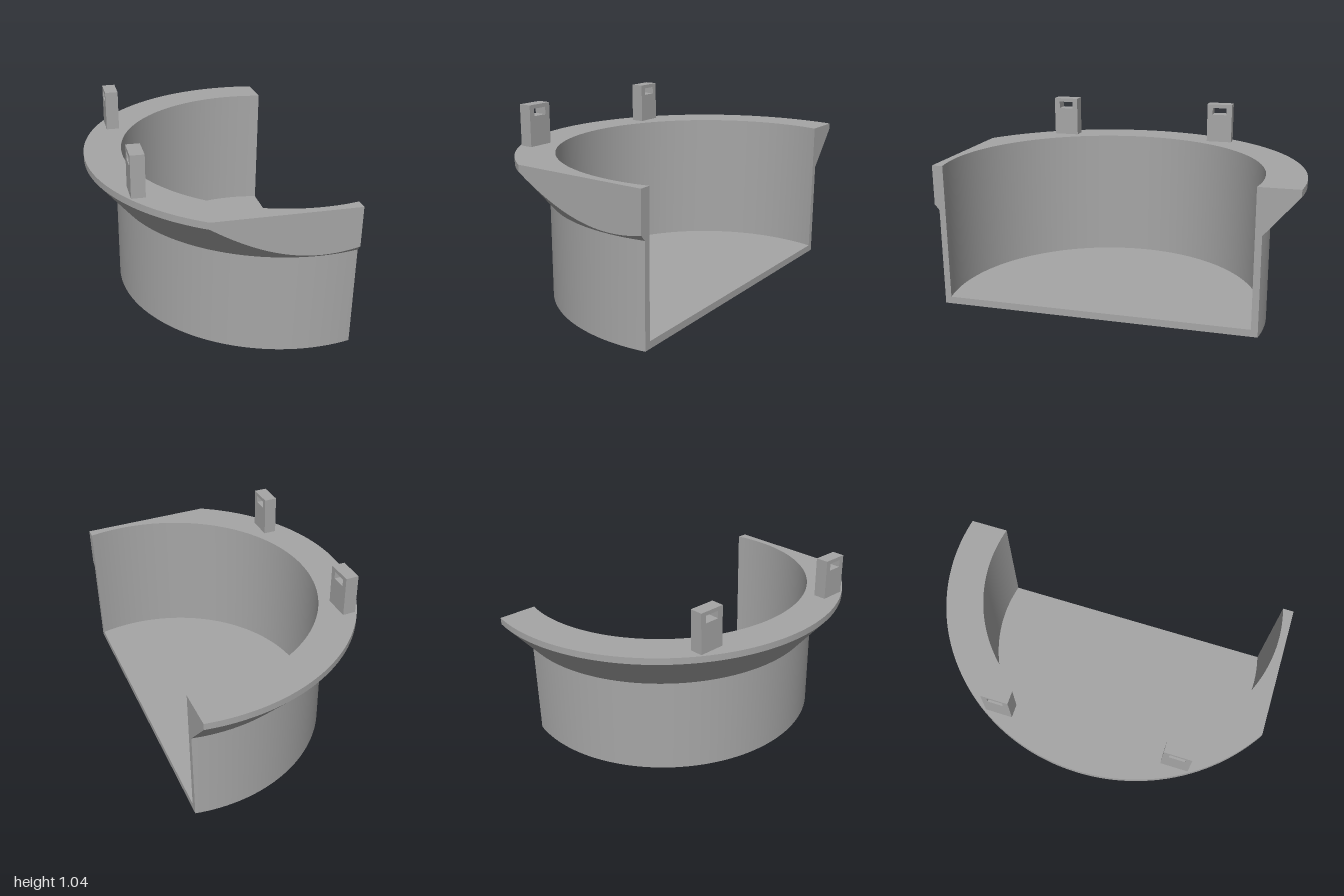
import * as THREE from 'three';
import { toCreasedNormals } from 'three/addons/utils/BufferGeometryUtils.js';

const CX = 0.449, CZ = 0.086;      // axis of the bowl
const CUT = 0.188, FRONT = 0.914;  // cutting planes, measured from the axis
const INNER = 0.872, WALL = 0.907, RIM = 1.086;
const FLOOR = 0.04, NECK = 0.553, LIP = 0.767, TOP = 0.805;

// Cross-section rows from the floor centre, over the rim, to the bottom centre.
const rows = [
  { r: 0, y: FLOOR }, { r: INNER, y: FLOOR }, { r: INNER, y: TOP },
  { r: RIM, y: TOP }, { r: RIM, y: null }, // underside height follows the cone
  { r: WALL, y: NECK }, { r: WALL, y: 0 }, { r: 0, y: 0 },
];

// Point on a row; t runs from the front end of the arc to the back end.
function pointOn({ r, y }, t) {
  if (r === 0) return new THREE.Vector3(CX + CUT, y, CZ);
  const start = Math.min(Math.acos(CUT / r), r === RIM ? Math.atan2(FRONT, CUT) : 9);
  const end = 2 * Math.PI - Math.acos(CUT / r);
  const a = start + (end - start) * t;
  const s = Math.sin(a);
  const rad = s > 0 ? Math.min(r, FRONT / s) : r; // flat cut across the front
  const height = y ?? NECK + (LIP - NECK) * (rad - WALL) / (RIM - WALL);
  return new THREE.Vector3(CX + rad * Math.cos(a), height, CZ + rad * s);
}

// Steps along the arc, with one exactly where the flat front meets the round rim.
function arcSteps() {
  const start = Math.atan2(FRONT, CUT), end = 2 * Math.PI - Math.acos(CUT / RIM);
  const corner = (Math.PI - Math.asin(FRONT / RIM) - start) / (end - start);
  const steps = [];
  for (let i = 0; i < 24; i++) steps.push(corner * i / 24);
  for (let i = 0; i <= 72; i++) steps.push(corner + (1 - corner) * i / 72);
  return steps;
}

function bowlGeometry() {
  const steps = arcSteps();
  const grid = rows.map((row) => steps.map((t) => pointOn(row, t)));
  const pos = [];
  const tri = (a, b, c) => {
    if (a.equals(b) || b.equals(c) || a.equals(c)) return;
    for (const p of [a, b, c]) pos.push(p.x, p.y, p.z);
  };
  for (let k = 0; k < rows.length - 1; k++) {
    for (let j = 0; j < steps.length - 1; j++) {
      const a = grid[k][j], b = grid[k + 1][j], c = grid[k + 1][j + 1], d = grid[k][j + 1];
      tri(a, c, b);
      tri(a, d, c);
    }
  }
  const geometry = new THREE.BufferGeometry();
  geometry.setAttribute('position', new THREE.Float32BufferAttribute(pos, 3));
  return toCreasedNormals(geometry, 0.4);
}

// Flat section through wall and floor
function sectionGeometry() {
  const ring = rows.slice(1, -1);
  const outline = [
    ...ring.map((row) => pointOn(row, 0)),
    ...ring.reverse().map((row) => pointOn(row, 1)),
  ].map((p) => new THREE.Vector2(-p.z, p.y));
  return new THREE.ShapeGeometry(new THREE.Shape(outline))
    .rotateY(Math.PI / 2).translate(CX + CUT, 0, 0);
}

function rectangle(Type, w, y0, y1) {
  return new Type([[-w, y0], [w, y0], [w, y1], [-w, y1]].map(([x, y]) => new THREE.Vector2(x, y)));
}

// Upright tab with a rectangular slot
function tabGeometry() {
  const shape = rectangle(THREE.Shape, 0.076, TOP, 1.037);
  shape.holes.push(rectangle(THREE.Path, 0.043, 0.973, 1.015));
  return new THREE.ExtrudeGeometry(shape, { depth: 0.075, bevelEnabled: false }).rotateY(Math.PI / 2);
}

export function createModel() {
  const model = new THREE.Group();
  model.name = 'halfBowl';
  const grey = new THREE.MeshStandardMaterial({ color: 0xa6a6a6 });
  grey.name = 'grey';

  const add = (name, geometry) => {
    const mesh = new THREE.Mesh(geometry, grey);
    mesh.name = name;
    model.add(mesh);
    return mesh;
  };

  add('bowlWithFlange', bowlGeometry());
  add('cutFace', sectionGeometry());
  const tab = tabGeometry();
  add('frontTab', tab).position.set(-0.46, 0, 0.589);
  add('backTab', tab).position.set(-0.46, 0, -0.413);
  return model;
}
